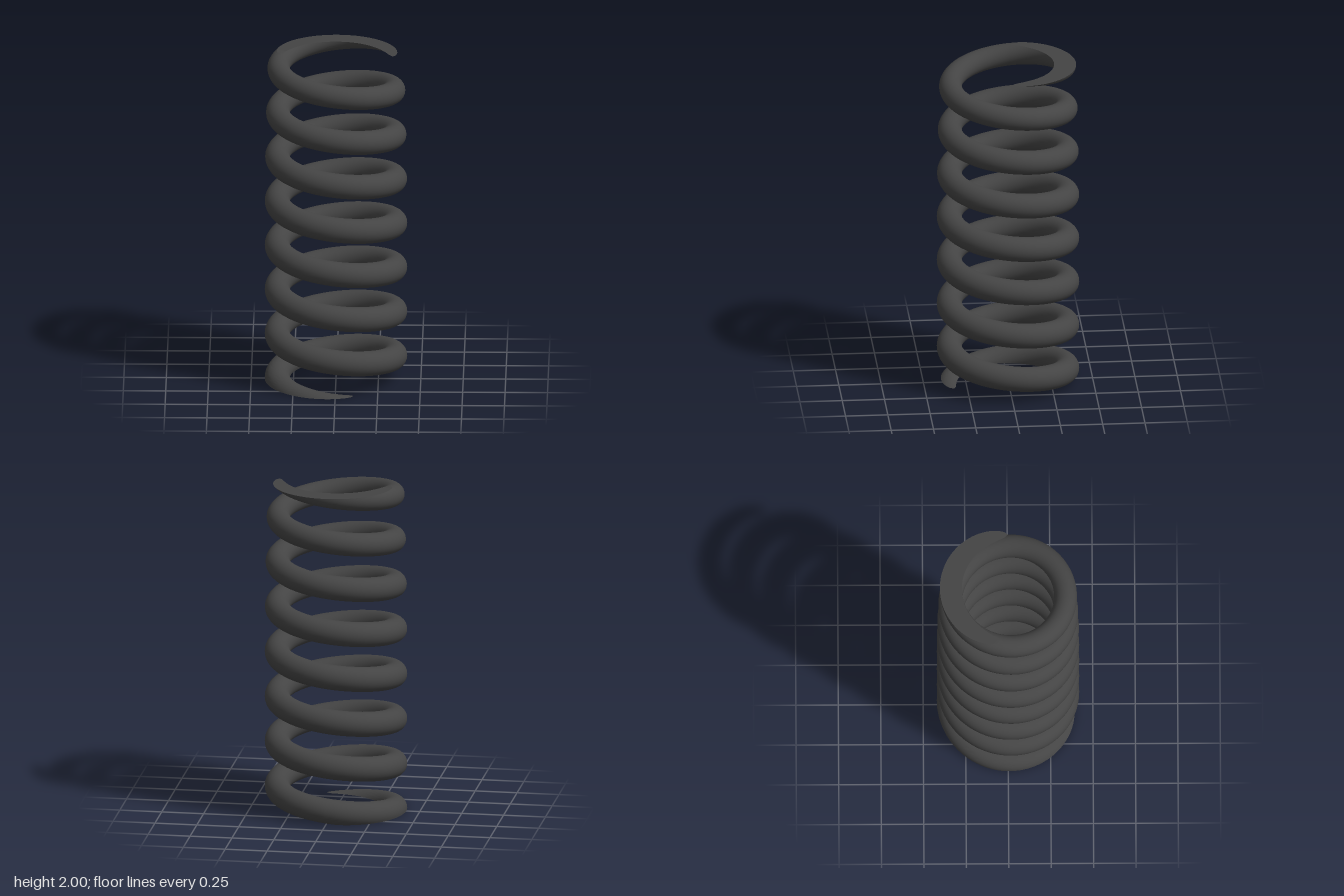
import * as THREE from 'three';
import { toCreasedNormals } from 'three/addons/utils/BufferGeometryUtils.js';

const HEIGHT = 2, INNER = 0.272, PITCH = 0.2742, START = 0.145;
const STEPS_PER_TURN = 120, SIDE = 14;

// wire radius thins slightly over the upper half
const wireRadius = (y) => 0.074 - 0.0092 * Math.max(0, y - 1) ** 2;
const clampAsin = (v) => Math.asin(THREE.MathUtils.clamp(v, -1, 1));

// cross-section of the wire at turn t, with whatever lies outside 0..HEIGHT ground flat
function section(t) {
  const y = START + PITCH * t;
  const r = wireRadius(y), R = INNER + r, h = r * 1.008;
  const lo = clampAsin(-y / h), hi = clampAsin((HEIGHT - y) / h);
  const a = t * Math.PI * 2;
  const ring = [];
  const add = (phi, sign) => {
    const d = R + sign * r * Math.cos(phi);
    const py = THREE.MathUtils.clamp(y + h * Math.sin(phi), 0, HEIGHT);
    ring.push(new THREE.Vector3(d * Math.cos(a), py, d * Math.sin(a)));
  };
  for (let j = 0; j <= SIDE; j++) add(lo + (hi - lo) * j / SIDE, 1); // outer side, upward
  for (let j = SIDE; j >= 0; j--) add(lo + (hi - lo) * j / SIDE, -1); // inner side, downward
  return ring;
}

function coilGeometry() {
  const t0 = (-0.0746 - START) / PITCH;
  const t1 = (HEIGHT + 0.0645 - START) / PITCH;
  const steps = Math.ceil((t1 - t0) * STEPS_PER_TURN);
  const rings = [];
  for (let i = 0; i <= steps; i++) rings.push(section(t0 + (t1 - t0) * i / steps));

  const positions = [];
  const tri = new THREE.Triangle();
  const addTriangle = (a, b, c) => {
    if (tri.set(a, b, c).getArea() < 1e-9) return; // collapsed where the wire is uncut
    for (const p of [a, b, c]) positions.push(p.x, p.y, p.z);
  };
  for (let i = 0; i < steps; i++) {
    const p = rings[i], q = rings[i + 1], n = p.length;
    for (let j = 0; j < n; j++) {
      const k = (j + 1) % n;
      addTriangle(p[j], p[k], q[j]);
      addTriangle(p[k], q[k], q[j]);
    }
  }
  const geometry = new THREE.BufferGeometry();
  geometry.setAttribute('position', new THREE.Float32BufferAttribute(positions, 3));
  return toCreasedNormals(geometry, Math.PI / 7);
}

export function createModel() {
  const group = new THREE.Group();
  group.name = 'coilSpring';
  // helical wire with flat ground ends
  const coil = new THREE.Mesh(coilGeometry(), new THREE.MeshStandardMaterial({ color: 0x444444 }));
  coil.name = 'springCoil';
  group.add(coil);
  return group;
}
